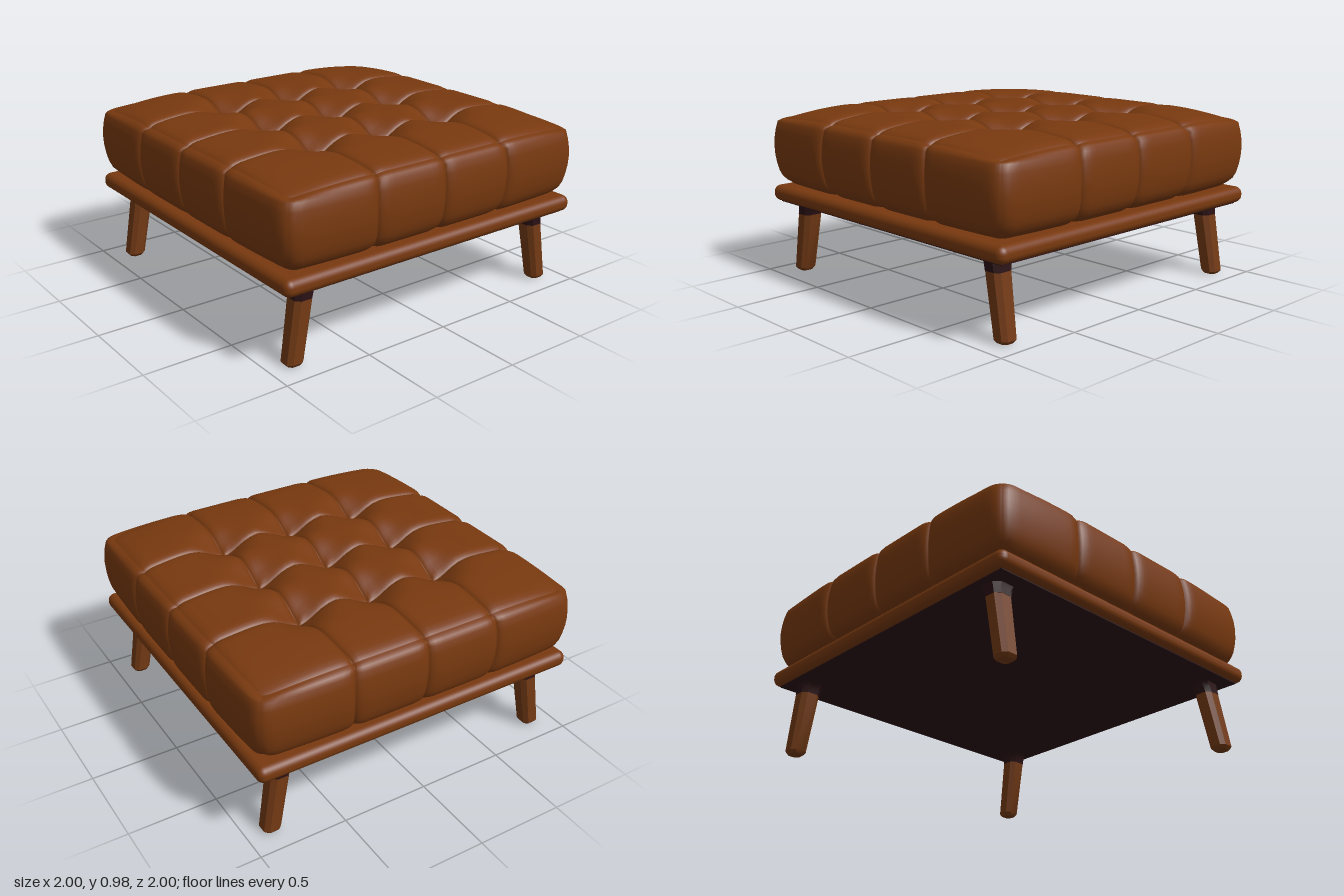
import * as THREE from 'three';
import { mergeVertices, toCreasedNormals } from 'three/addons/utils/BufferGeometryUtils.js';
import { RoundedBoxGeometry } from 'three/addons/geometries/RoundedBoxGeometry.js';

const SEAMS = [-0.45, 0, 0.45];
const EDGES = [-1, ...SEAMS, 1];
const CELL_SEGMENTS = 16;
const HALF_HEIGHT = 0.23;

// Maps a uniform grid coordinate to the four cells, packing vertices near the seams
function toCell(v) {
  const g = (v + 1) * 2;
  const i = Math.min(3, Math.floor(g + 1e-6));
  const t = Math.sin((g - i - 0.5) * Math.PI);
  return EDGES[i] + (EDGES[i + 1] - EDGES[i]) * (t + 1) / 2;
}

const seamDistance = (v) => Math.min(...SEAMS.map((s) => Math.abs(v - s)));

// Round-shouldered groove along a seam
function groove(v) {
  const k = Math.max(0, 1 - seamDistance(v) / 0.07);
  return 0.028 * (1 - Math.sqrt(1 - k * k));
}

// Tufted cushion: a rounded box with bulging sides, seams and button dips
function cushionGeometry() {
  const n = CELL_SEGMENTS * 4;
  let geo = new THREE.BoxGeometry(2, 2, 2, n, 14, n);
  geo.deleteAttribute('uv');
  geo.deleteAttribute('normal');
  geo = mergeVertices(geo);
  const pos = geo.attributes.position;
  const r = 0.08;
  const limit = new THREE.Vector3(1 - r, HALF_HEIGHT - r, 1 - r);
  const low = limit.clone().negate();
  const p = new THREE.Vector3();
  const inner = new THREE.Vector3();
  const dir = new THREE.Vector3();
  for (let i = 0; i < pos.count; i++) {
    p.fromBufferAttribute(pos, i);
    p.set(toCell(p.x), HALF_HEIGHT * Math.sin(p.y * Math.PI / 2), toCell(p.z));
    inner.copy(p).clamp(low, limit);
    dir.copy(p).sub(inner).normalize();
    const depth = Math.max(groove(p.x), groove(p.z));
    const out = inner.clone().addScaledVector(dir, r - depth);

    // Sides lean in towards the top, bottom and vertical corners
    const ny = p.y / HALF_HEIGHT;
    const lean = 0.045 * ny * ny;
    out.x *= 1 - lean - 0.025 * p.z ** 4;
    out.z *= 1 - lean - 0.025 * p.x ** 4;

    // Top falls to the rim and dips at the seam crossings
    if (dir.y > 0) {
      const fall = (v) => Math.max(0, (Math.abs(v) - 0.5) / 0.5) ** 2;
      const d = (seamDistance(p.x) ** 2 + seamDistance(p.z) ** 2) / 0.13 ** 2;
      out.y -= dir.y * (0.04 * (fall(p.x) + fall(p.z)) + 0.09 * Math.exp(-d));
    }
    pos.setXYZ(i, out.x, out.y, out.z);
  }
  geo.computeVertexNormals();
  return geo;
}

// Loft through chamfered rectangles given as [y, centreX, centreZ, halfX, halfZ]
function loft(rings, chamfer = 0.55) {
  const c = chamfer;
  const section = [[1, -c], [1, c], [c, 1], [-c, 1], [-1, c], [-1, -c], [-c, -1], [c, -1]];
  const n = section.length;
  const points = [];
  const index = [];
  for (const [y, cx, cz, hx, hz] of rings) {
    for (const [u, v] of section) points.push(cx + u * hx, y, cz + v * hz);
  }
  for (let i = 0; i < rings.length - 1; i++) {
    for (let j = 0; j < n; j++) {
      const a = i * n + j;
      const b = i * n + (j + 1) % n;
      index.push(a, a + n, b, b, a + n, b + n);
    }
  }
  const top = (rings.length - 1) * n;
  for (let j = 1; j < n - 1; j++) {
    index.push(0, j, j + 1, top, top + j + 1, top + j);
  }
  const geo = new THREE.BufferGeometry();
  geo.setAttribute('position', new THREE.Float32BufferAttribute(points, 3));
  geo.setIndex(index);
  return toCreasedNormals(geo, 0.5);
}

export function createModel() {
  const model = new THREE.Group();
  model.name = 'tuftedOttoman';

  const material = (name, color) => {
    const m = new THREE.MeshStandardMaterial({ color });
    m.name = name;
    return m;
  };
  const leather = material('brownLeather', 0x78390f);
  const wood = material('brownWood', 0x733a15);
  const dark = material('darkUnderside', 0x2a1114);

  const add = (parent, name, geo, mat, y = 0) => {
    const mesh = new THREE.Mesh(geo, mat);
    mesh.name = name;
    mesh.position.y = y;
    parent.add(mesh);
  };

  add(model, 'cushion', cushionGeometry(), leather, 0.75);

  // Padded base rim with a dark panel beneath
  add(model, 'baseRim', new RoundedBoxGeometry(1.95, 0.093, 1.95, 5, 0.042), leather, 0.469);
  add(model, 'undersidePanel', new THREE.BoxGeometry(1.87, 0.009, 1.87), dark, 0.4205);

  // Splayed legs, each with a flared dark bracket at the top
  for (const sx of [1, -1]) {
    for (const sz of [1, -1]) {
      const leg = new THREE.Group();
      leg.name = `${sz > 0 ? 'front' : 'back'}${sx > 0 ? 'Left' : 'Right'}Leg`;
      const place = (rings) => rings.map(([y, x, z, hx, hz]) => [y, x * sx, z * sz, hx, hz]);
      add(leg, 'post', loft(place([
        [0, 0.86, 0.84, 0.036, 0.036],
        [0.018, 0.86, 0.84, 0.05, 0.05],
        [0.36, 0.801, 0.831, 0.054, 0.058],
      ])), wood);
      add(leg, 'bracket', loft(place([
        [0.35, 0.803, 0.831, 0.055, 0.059],
        [0.39, 0.796, 0.827, 0.057, 0.063],
        [0.41, 0.788, 0.82, 0.064, 0.07],
        [0.42, 0.778, 0.812, 0.074, 0.078],
      ])), dark);
      model.add(leg);
    }
  }
  return model;
}
